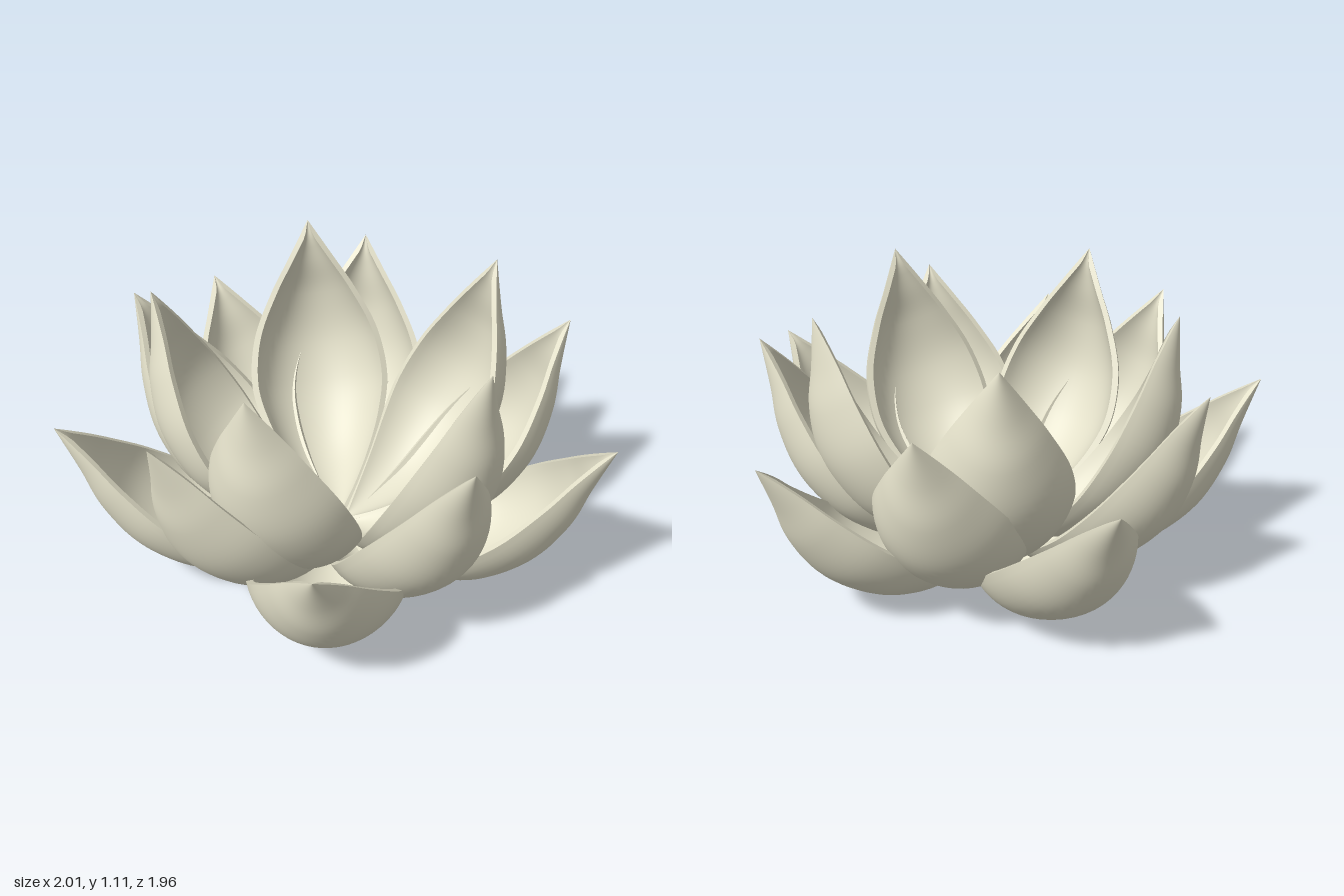
import * as THREE from 'three';
import { mergeGeometries } from 'three/addons/utils/BufferGeometryUtils.js';

const rad = THREE.MathUtils.degToRad;

// Petal outline: distance along the petal, half width, depth of the belly
const outline = new THREE.CatmullRomCurve3([
  [0, 0, 0], [0.147, 0.112, 0.15], [0.3, 0.2, 0.263], [0.45, 0.26, 0.32], [0.6, 0.289, 0.341],
  [0.79, 0.262, 0.318], [0.97, 0.178, 0.23], [1.1, 0.097, 0.121], [1.255, 0, 0],
].map(p => new THREE.Vector3(...p)));

const ARC = rad(75);   // half angle of the curved cross-section
const THICK = 0.026;

// Point on the petal: s base to tip, a across (-1..1), k 0 outer skin to 1 inner skin
function petalPoint(s, a, k) {
  const { x: u, y: w, z: depth } = outline.getPoint(s);
  const t = a * ARC;
  const th = k * Math.min(THICK, 0.5 * depth);
  const edge = 0.5 - 0.21 * u;   // depth of the petal edge relative to the belly
  const side = w * Math.sin(t) / Math.sin(ARC);
  const v = depth * (1 - (1 - edge) * (1 - Math.cos(t)) / (1 - Math.cos(ARC)));
  return [side - th * Math.sin(t), -(v - th * Math.cos(t)), u];
}

// Smooth sheet sampled from fn(i, j), both 0..1
function sheet(fn, rows, cols) {
  const pos = [], index = [];
  for (let i = 0; i <= rows; i++) {
    for (let j = 0; j <= cols; j++) {
      pos.push(...fn(i / rows, j / cols));
      if (i < rows && j < cols) {
        const a = i * (cols + 1) + j, c = a + cols + 1;
        index.push(a, a + 1, c, a + 1, c + 1, c);
      }
    }
  }
  const geo = new THREE.BufferGeometry();
  geo.setAttribute('position', new THREE.Float32BufferAttribute(pos, 3));
  geo.setIndex(index);
  geo.computeVertexNormals();
  return geo;
}

// Closed petal shell: outer skin, inner skin and the two rims
function petalGeometry() {
  const rows = 48, cols = 24;
  return mergeGeometries([
    sheet((s, j) => petalPoint(s, 2 * j - 1, 0), rows, cols),
    sheet((s, j) => petalPoint(s, 1 - 2 * j, 1), rows, cols),
    sheet((s, j) => petalPoint(s, 1, j), rows, 1),
    sheet((s, j) => petalPoint(s, -1, 1 - j), rows, 1),
  ]);
}

export function createModel() {
  const flower = new THREE.Group();
  flower.name = 'lotusFlower';
  const geometry = petalGeometry();
  const material = new THREE.MeshStandardMaterial({ color: 0xe4e1ca });

  // Three rings of five petals, each ring steeper and turned from the last
  const rings = [
    { name: 'outerPetal', tilt: 32.4, start: -93 },
    { name: 'middlePetal', tilt: 44.2, start: 90 },
    { name: 'innerPetal', tilt: 56.4, start: 0 },
  ];
  for (const { name, tilt, start } of rings) {
    const ring = new THREE.Group();
    ring.name = name + 'Ring';
    for (let i = 0; i < 5; i++) {
      const petal = new THREE.Mesh(geometry, material);
      petal.name = name + (i + 1);
      petal.rotation.set(-rad(tilt), rad(90 - start - 72 * i), 0, 'YXZ');
      ring.add(petal);
    }
    flower.add(ring);
  }
  flower.position.set(0.014, 0.06, 0.078);

  const model = new THREE.Group();
  model.add(flower);
  return model;
}
